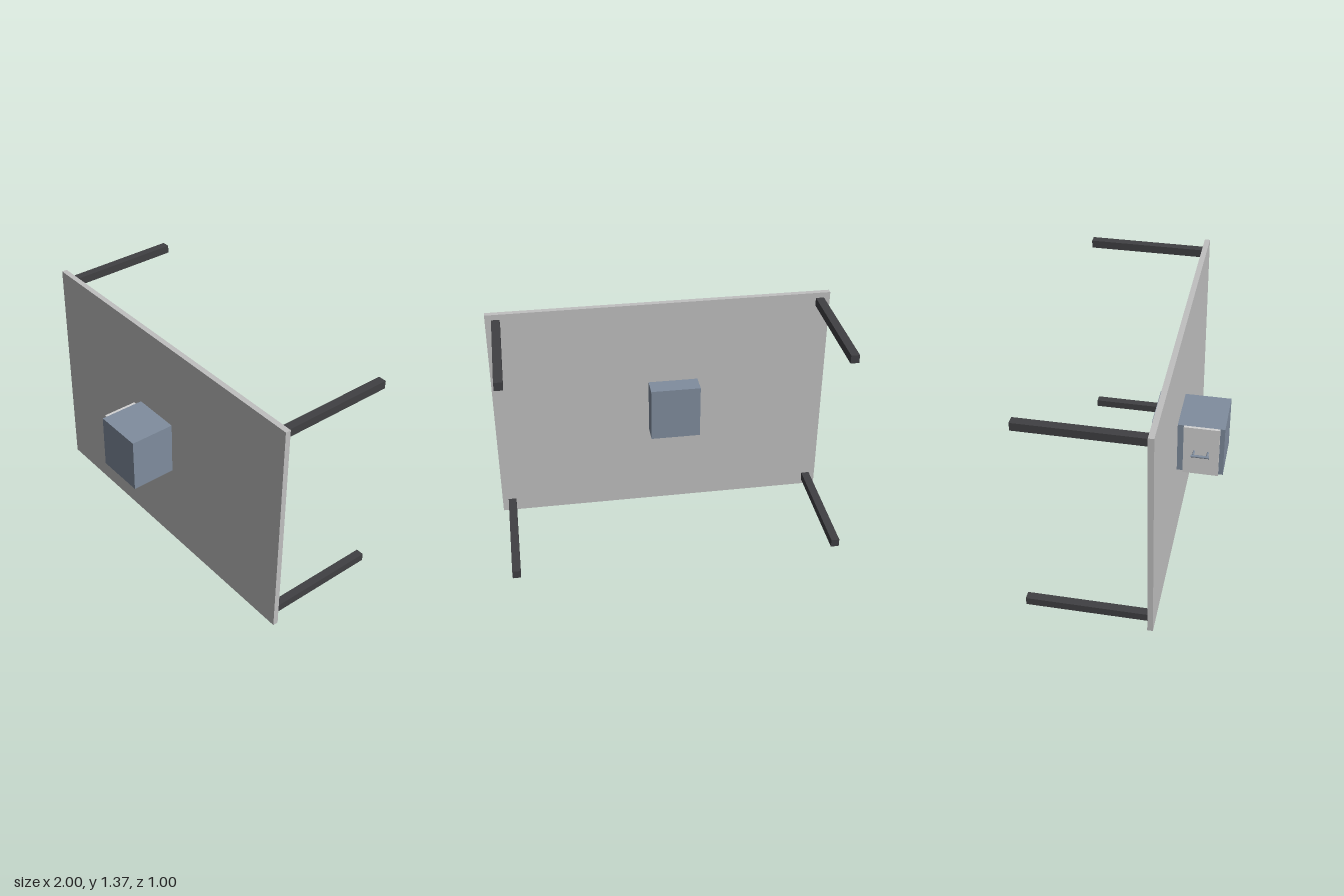
import * as THREE from 'three';

export function createModel() {
  const root = new THREE.Group();
  root.name = 'tippedTable';

  const mat = (name, color) => {
    const m = new THREE.MeshStandardMaterial({ color });
    m.name = name;
    return m;
  };
  const topGrey = mat('tabletop grey', 0xc0c0c0);
  const legDark = mat('leg charcoal', 0x404043);
  const boxBlue = mat('cabinet slate blue', 0x808d9e);
  const panelLight = mat('panel light grey', 0xd3d3d3);

  // Box given by its extents along each axis
  const box = (name, material, [x0, x1], [y0, y1], [z0, z1], parent = root) => {
    const mesh = new THREE.Mesh(new THREE.BoxGeometry(x1 - x0, y1 - y0, z1 - z0), material);
    mesh.position.set((x0 + x1) / 2, (y0 + y1) / 2, (z0 + z1) / 2);
    mesh.name = name;
    parent.add(mesh);
    return mesh;
  };

  // Upright tabletop
  box('tabletop', topGrey, [-1, 1], [0, 1.366], [0.199, 0.231]);

  // Four square legs pointing backwards
  for (const side of [-1, 1]) {
    for (const y of [0.06, 1.31]) {
      const x = side * 0.94;
      box(`${side > 0 ? 'left' : 'right'}${y > 1 ? 'Upper' : 'Lower'}Leg`, legDark,
        [x - 0.024, x + 0.024], [y - 0.024, y + 0.024], [-0.5, 0.199]);
    }
  }

  // Cabinet passing through the tabletop, with its door panel on the right side
  box('cabinet', boxBlue, [-0.221, 0.075], [0.521, 0.851], [0.084, 0.5]);
  box('doorPanel', panelLight, [-0.237, -0.221], [0.521, 0.851], [0.267, 0.473]);

  // Bar handle on two posts
  const handle = new THREE.Group();
  handle.name = 'handle';
  root.add(handle);
  const rod = (name, radius, length) => {
    const mesh = new THREE.Mesh(new THREE.CylinderGeometry(radius, radius, length, 16), boxBlue);
    mesh.name = name;
    handle.add(mesh);
    return mesh;
  };
  const bar = rod('handleBar', 0.008, 0.104);
  bar.rotation.x = Math.PI / 2;
  bar.position.set(-0.281, 0.686, 0.37);
  for (const z of [0.33, 0.41]) {
    const post = rod('handlePost', 0.006, 0.044);
    post.rotation.z = Math.PI / 2;
    post.position.set(-0.259, 0.686, z);
  }

  return root;
}
